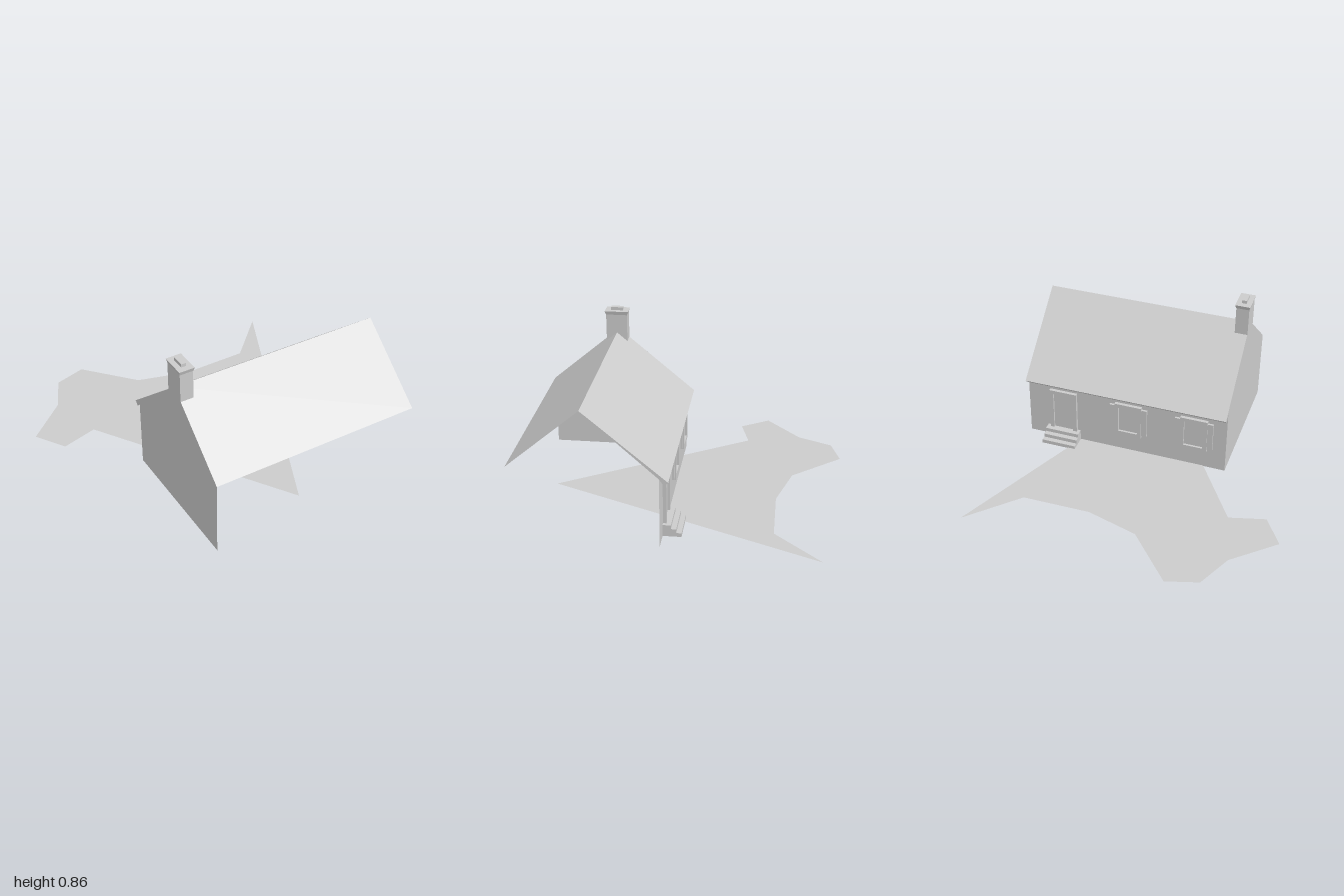
import * as THREE from 'three';

const material = new THREE.MeshStandardMaterial({ color: 0xcccccc, flatShading: true, side: THREE.DoubleSide });

const HALF = 0.38;    // half width of the house
const LENGTH = 1.12;  // front gable to back end
const EAVE = 0.4;
const RIDGE = 0.72;

function add(parent, name, geometry, x = 0, y = 0, z = 0) {
  const mesh = new THREE.Mesh(geometry, material);
  mesh.name = name;
  mesh.position.set(x, y, z);
  parent.add(mesh);
  return mesh;
}

function polygon(points) {
  return new THREE.Shape(points.map(([x, y]) => new THREE.Vector2(x, y)));
}

// Box given by its lower and upper corners
function block(parent, name, [x0, y0, z0], [x1, y1, z1]) {
  return add(parent, name, new THREE.BoxGeometry(x1 - x0, y1 - y0, z1 - z0),
    (x0 + x1) / 2, (y0 + y1) / 2, (z0 + z1) / 2);
}

// Flat trim on the long wall: centre along the wall, width, bottom, top, projection
function trim(parent, name, along, width, bottom, top, out) {
  block(parent, name, [-HALF - out, bottom, -along - width / 2], [-HALF + 0.002, top, -along + width / 2]);
}

// Surround made of two jambs, a head and an optional sill
function surround(parent, name, along, width, bottom, top, bar, out, sill) {
  for (const side of [-1, 1]) trim(parent, name + 'Jamb', along + side * (width - bar) / 2, bar, bottom, top, out);
  trim(parent, name + 'Head', along, width - 2 * bar, top - bar, top, out);
  if (sill) trim(parent, name + 'Sill', along, width - 2 * bar, bottom, bottom + bar, out);
}

export function createModel() {
  const model = new THREE.Group();
  model.name = 'cottage';

  // Irregular yard, running under the house
  const yard = polygon([
    [-0.33, 0.9], [-0.235, 0.565], [-0.41, 0.25], [-0.615, 0.05], [-0.96, -0.02], [-1, -0.19],
    [-0.88, -0.36], [-0.82, -0.64], [-0.635, -0.63], [-0.585, -0.44], [0.61, -0.375],
  ]);
  add(model, 'yard', new THREE.ShapeGeometry(yard), 0, 0.003, 0).rotation.x = -Math.PI / 2;

  // House frame: gable on local z = 0, house runs towards -z
  const house = new THREE.Group();
  house.name = 'house';
  house.position.set(0.109, 0, 0.71);
  house.rotation.y = -Math.PI / 6;
  model.add(house);

  // Walls: one gable and one long wall, the other sides stay open
  add(house, 'gableWall', new THREE.ShapeGeometry(polygon([
    [-HALF, 0], [HALF, 0], [HALF, EAVE], [0, RIDGE], [-HALF, EAVE],
  ])));
  const longWall = new THREE.PlaneGeometry(LENGTH, 0.38);
  longWall.rotateY(-Math.PI / 2);
  add(house, 'longWall', longWall, -HALF, 0.19, -LENGTH / 2);

  // Left slope with a thick overhanging eave
  add(house, 'leftRoof', new THREE.ExtrudeGeometry(polygon([
    [0, RIDGE], [-0.425, 0.362], [-0.405, 0.342], [-HALF, 0.378],
  ]), { depth: LENGTH, bevelEnabled: false }), 0, 0, -LENGTH);

  // Right slope, a thin sheet
  const rise = RIDGE - EAVE;
  const sheet = new THREE.PlaneGeometry(Math.hypot(HALF, rise), LENGTH);
  sheet.rotateX(-Math.PI / 2);
  sheet.rotateZ(-Math.atan2(rise, HALF));
  add(house, 'rightRoof', sheet, HALF / 2, (RIDGE + EAVE) / 2, -LENGTH / 2);

  // Chimney flush with the gable
  const chimney = new THREE.Group();
  chimney.name = 'chimney';
  house.add(chimney);
  block(chimney, 'chimneyStack', [-0.058, 0.67, -0.068], [0.058, 0.825, 0.001]);
  const cap = new THREE.BoxGeometry(0.13, 0.02, 0.08);
  const corners = cap.attributes.position;
  for (let i = 0; i < corners.count; i++) {
    if (corners.getY(i) < 0) corners.setXYZ(i, corners.getX(i) * 0.9, corners.getY(i), corners.getZ(i) * 0.87);
  }
  cap.computeVertexNormals();
  add(chimney, 'chimneyCap', cap, 0, 0.833, -0.034);
  block(chimney, 'flue', [-0.033, 0.84, -0.047], [0.033, 0.86, -0.021]);

  // Windows with side shutters
  for (const along of [0.178, 0.545]) {
    const window = new THREE.Group();
    window.name = 'window';
    house.add(window);
    surround(window, 'window', along, 0.15, 0.11, 0.31, 0.022, 0.018, true);
    trim(window, 'windowPane', along, 0.106, 0.13, 0.29, 0.006);
    for (const side of [-1, 1]) trim(window, 'shutter', along + side * 0.09, 0.03, 0.125, 0.295, 0.012);
  }

  // Door and steps
  const door = new THREE.Group();
  door.name = 'door';
  house.add(door);
  surround(door, 'door', 0.918, 0.155, 0.06, 0.31, 0.022, 0.018, false);
  trim(door, 'doorLeaf', 0.918, 0.111, 0.06, 0.288, 0.006);
  for (let i = 0; i < 3; i++) trim(door, 'step', 0.92, 0.19, i * 0.021, (i + 1) * 0.021, 0.096 - i * 0.027);

  return model;
}
